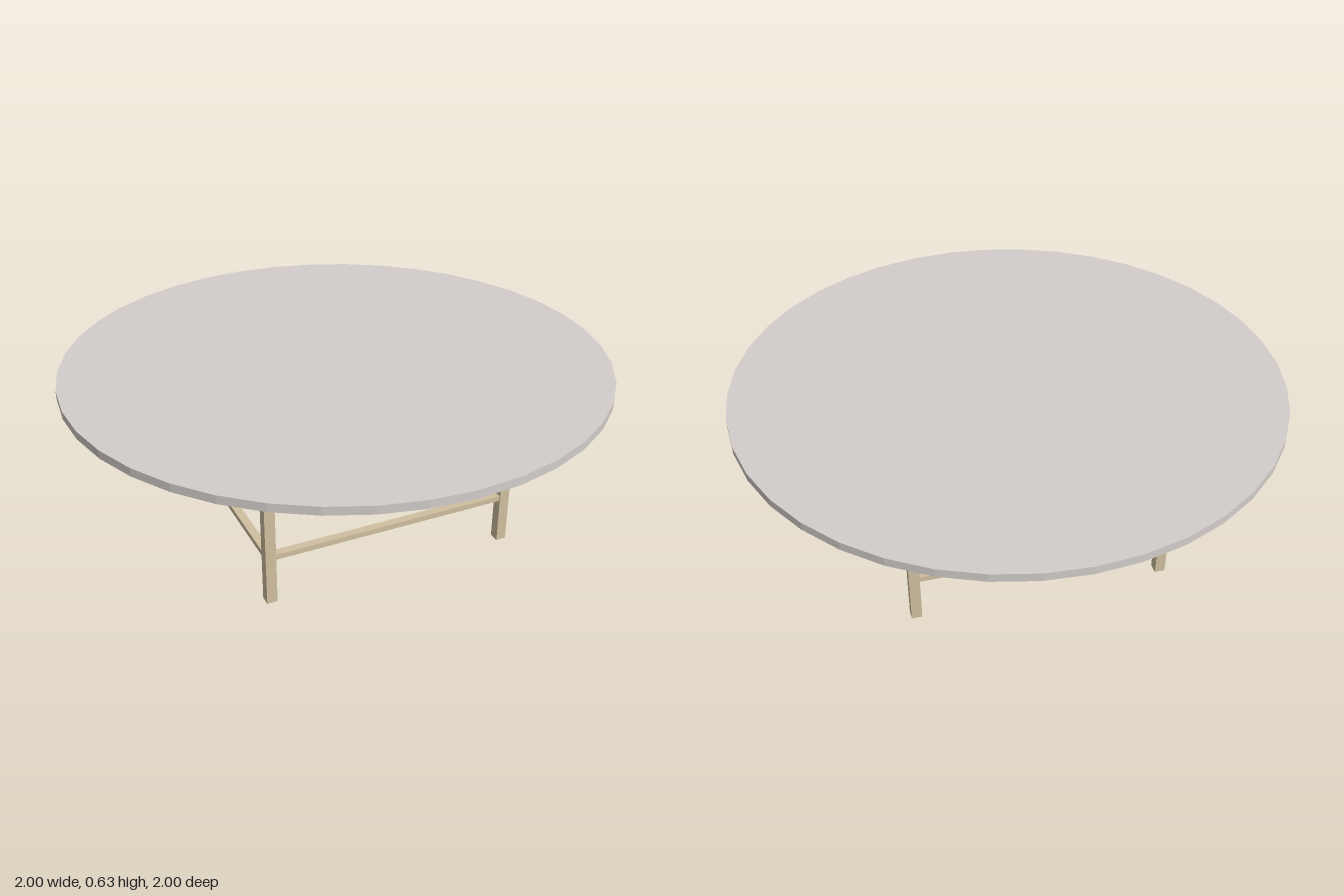
import * as THREE from 'three';

export function createModel() {
  const group = new THREE.Group();
  const stone = new THREE.MeshStandardMaterial({ color: 0xd3cecb, flatShading: true });
  const wood = new THREE.MeshStandardMaterial({ color: 0xd0c0a0, flatShading: true });

  const add = (name, geometry, material, x, y, z, turn = 0) => {
    const mesh = new THREE.Mesh(geometry, material);
    mesh.name = name;
    mesh.position.set(x, y, z);
    mesh.rotation.y = turn;
    group.add(mesh);
  };

  // Round faceted top
  add('tableTop', new THREE.CylinderGeometry(1, 1, 0.03, 40), stone, 0, 0.615, 0);

  // Square legs
  const legSize = 0.038, legPos = 0.459, legHeight = 0.54;
  const leg = new THREE.BoxGeometry(legSize, legHeight, legSize);
  for (const x of [-legPos, legPos])
    for (const z of [-legPos, legPos]) add('leg', leg, wood, x, legHeight / 2, z);

  // Apron frame: a square ring between the legs and the top
  const square = (Path, r) => new Path([[-r, -r], [r, -r], [r, r], [-r, r]].map(p => new THREE.Vector2(...p)));
  const ring = square(THREE.Shape, 0.5);
  ring.holes.push(square(THREE.Path, 0.47));
  const apron = new THREE.ExtrudeGeometry(ring, { depth: 0.06, bevelEnabled: false });
  apron.rotateX(-Math.PI / 2);
  add('apron', apron, wood, 0, 0.54, 0);

  // Thin stretchers joining neighbouring legs
  const stretcher = new THREE.BoxGeometry(2 * legPos - legSize, 0.02, 0.03);
  for (let i = 0; i < 4; i++) {
    const a = (i * Math.PI) / 2;
    add('stretcher', stretcher, wood, Math.sin(a) * legPos, 0.18, Math.cos(a) * legPos, a);
  }
  return group;
}
